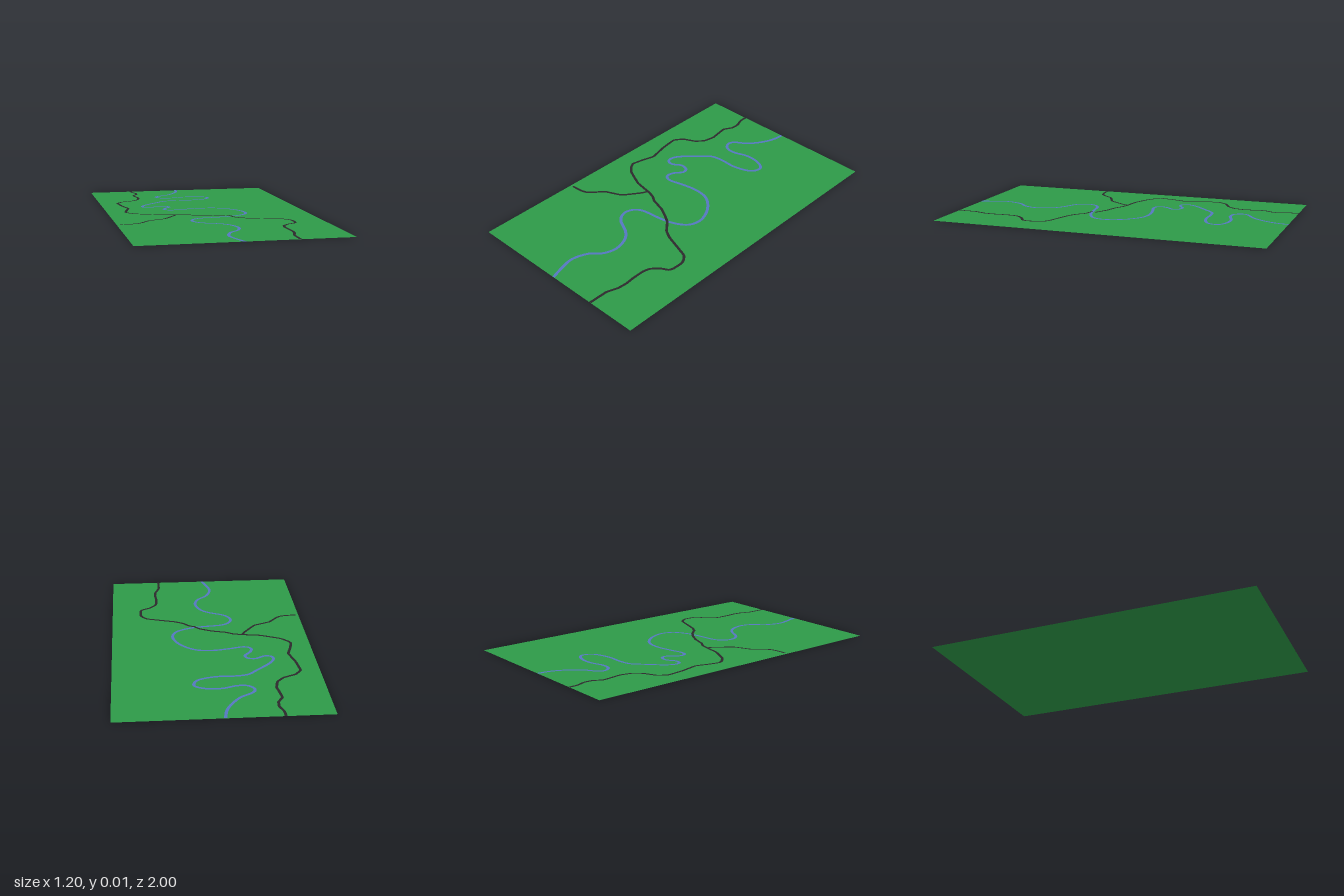
import * as THREE from 'three';

const mat = (name, color) => {
  const m = new THREE.MeshStandardMaterial({ color, side: THREE.DoubleSide });
  m.name = name;
  return m;
};

// Flat ribbon following [x, z] points; lift(x, z) gives its height
function ribbon(name, points, width, tension, lift, material) {
  const curve = new THREE.CatmullRomCurve3(
    points.map(([x, z]) => new THREE.Vector3(x, 0, z)), false, 'catmullrom', tension);
  const n = (points.length - 1) * 10;
  const pos = [], index = [];
  for (let i = 0; i <= n; i++) {
    const p = curve.getPoint(i / n), t = curve.getTangent(i / n);
    const y = lift(p.x, p.z), h = width / 2;
    for (const s of [h, -h]) {
      pos.push(p.x + t.z * s, y, THREE.MathUtils.clamp(p.z - t.x * s, -1, 1));
    }
    if (i < n) {
      const a = i * 2;
      index.push(a, a + 1, a + 2, a + 1, a + 3, a + 2);
    }
  }
  const geo = new THREE.BufferGeometry();
  geo.setAttribute('position', new THREE.Float32BufferAttribute(pos, 3));
  geo.setIndex(index);
  geo.computeVertexNormals();
  const mesh = new THREE.Mesh(geo, material);
  mesh.name = name;
  return mesh;
}

const river = [
  [-0.005, -1], [-0.016, -0.925], [-0.048, -0.85], [-0.106, -0.771], [-0.18, -0.718],
  [-0.196, -0.675], [-0.164, -0.633], [-0.101, -0.628], [-0.021, -0.654], [0.058, -0.654],
  [0.122, -0.628], [0.138, -0.591], [0.106, -0.538], [0.005, -0.506], [-0.101, -0.506],
  [-0.18, -0.49], [-0.243, -0.432], [-0.317, -0.358], [-0.349, -0.305], [-0.344, -0.262],
  [-0.302, -0.252], [-0.249, -0.283], [-0.201, -0.273], [-0.19, -0.236], [-0.228, -0.183],
  [-0.233, -0.135], [-0.19, -0.114], [-0.101, -0.135], [-0.005, -0.151], [0.085, -0.14],
  [0.153, -0.093], [0.206, -0.019], [0.228, 0.066], [0.201, 0.14], [0.122, 0.188],
  [0.032, 0.209], [-0.085, 0.225], [-0.138, 0.262], [-0.153, 0.321], [-0.116, 0.384],
  [-0.021, 0.437], [0.032, 0.495], [0.056, 0.585], [0.032, 0.665], [-0.026, 0.728],
  [-0.058, 0.824], [-0.042, 0.914], [-0.016, 1],
];

const road = [
  [-0.325, -1], [-0.323, -0.946], [-0.304, -0.893], [-0.307, -0.84], [-0.335, -0.787],
  [-0.328, -0.723], [-0.32, -0.665], [-0.335, -0.596], [-0.376, -0.548], [-0.45, -0.511],
  [-0.487, -0.458], [-0.476, -0.347], [-0.45, -0.23], [-0.471, -0.156], [-0.487, -0.082],
  [-0.471, -0.05], [-0.429, -0.008], [-0.312, 0.047], [-0.206, 0.066], [-0.148, 0.082],
  [-0.106, 0.109], [-0.021, 0.135], [0.048, 0.172], [0.101, 0.209], [0.153, 0.268],
  [0.206, 0.299], [0.27, 0.321], [0.378, 0.358], [0.407, 0.389], [0.42, 0.421],
  [0.418, 0.485], [0.407, 0.511], [0.36, 0.538], [0.323, 0.58], [0.312, 0.622],
  [0.312, 0.697], [0.317, 0.755], [0.312, 0.813], [0.289, 0.882], [0.287, 1],
];

const sideRoad = [
  [-0.206, 0.068], [-0.222, 0.103], [-0.296, 0.204], [-0.397, 0.252], [-0.45, 0.315],
  [-0.476, 0.336], [-0.513, 0.347], [-0.582, 0.352],
];

export function createModel() {
  const group = new THREE.Group();
  group.name = 'landscapeMap';
  const grass = mat('grass green', 0x2d9a48);
  const water = mat('river blue', 0x5577c0);
  const asphalt = mat('road black', 0x2b282b);

  // Flat ground sheet
  const ground = new THREE.Mesh(new THREE.PlaneGeometry(1.2, 2).rotateX(-Math.PI / 2), grass);
  ground.name = 'ground';
  group.add(ground);

  // The road arches slightly where it bridges the river
  const roadLift = (x, z) => {
    const d = Math.min(1, Math.hypot(x - 0.09, z - 0.2) / 0.045);
    return 0.0015 + 0.003 * (1 + Math.cos(Math.PI * d));
  };
  group.add(
    ribbon('river', river, 0.018, 0.5, () => 0.0008, water),
    ribbon('mainRoad', road, 0.016, 0.15, roadLift, asphalt),
    ribbon('sideRoad', sideRoad, 0.015, 0.15, () => 0.0014, asphalt),
  );
  return group;
}
